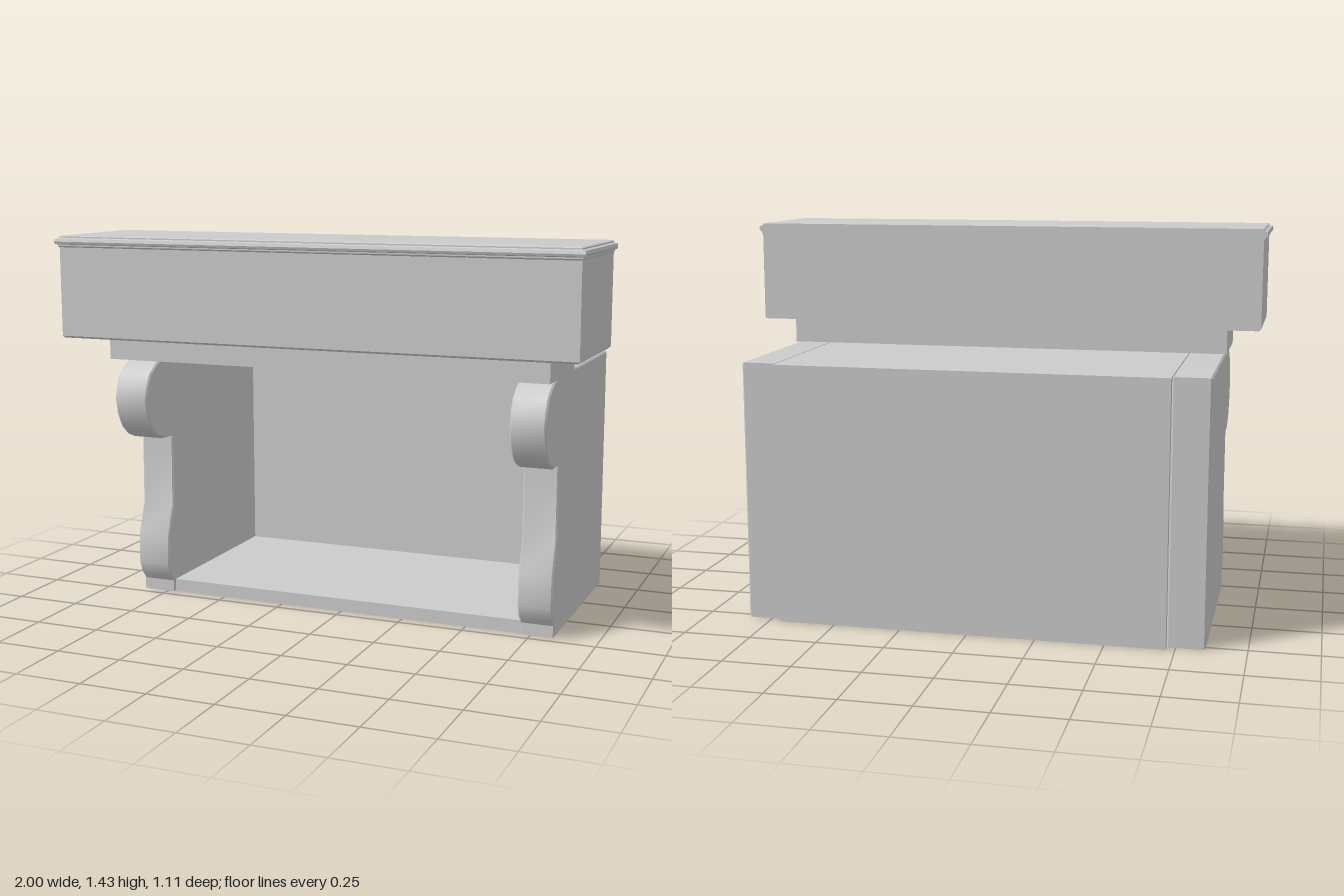
import * as THREE from 'three';
import { toCreasedNormals } from 'three/addons/utils/BufferGeometryUtils.js';

const grey = new THREE.MeshStandardMaterial({ color: 0xcccccc });

function add(group, name, geometry) {
  const mesh = new THREE.Mesh(geometry, grey);
  mesh.name = name;
  group.add(mesh);
  return mesh;
}

// Box given by its lower and upper limits
function box(group, name, [x0, x1], [y0, y1], [z0, z1]) {
  const mesh = add(group, name, new THREE.BoxGeometry(x1 - x0, y1 - y0, z1 - z0));
  mesh.position.set((x0 + x1) / 2, (y0 + y1) / 2, (z0 + z1) / 2);
}

// Scrolled side panel: profile in (z, y), extruded across x with a fine bevel
function sidePanel(group, name, x0, x1) {
  const bevel = 0.006;
  const profile = [
    [-0.527, 0], [0.212, 0], [0.212, 0.045], [0.237, 0.075], [0.253, 0.12], [0.249, 0.24],
    [0.208, 0.355], [0.203, 0.636], [0.27, 0.636], [0.32, 0.655], [0.36, 0.69],
    [0.387, 0.74], [0.4, 0.8], [0.39, 0.85], [0.365, 0.9], [0.315, 0.935],
    [0.275, 0.952], [0.235, 0.96], [-0.527, 0.96],
  ].map(([z, y]) => new THREE.Vector2(z, y));
  const geometry = new THREE.ExtrudeGeometry(new THREE.Shape(profile), {
    depth: x1 - x0 - 2 * bevel, bevelEnabled: true, bevelSegments: 1,
    bevelSize: bevel, bevelThickness: bevel, bevelOffset: -bevel,
  });
  const mesh = add(group, name, toCreasedNormals(geometry, 0.6));
  mesh.rotation.y = -Math.PI / 2;
  mesh.position.x = x1 - bevel;
}

// Rectangular rings [overhang, height] joined upwards; the back stays flush
function mouldedBlock(halfWidth, front, back, levels) {
  const positions = [];
  const indices = [];
  levels.forEach(([out, y]) => {
    const w = halfWidth + out, f = front + out;
    positions.push(-w, y, f, w, y, f, w, y, back, -w, y, back);
  });
  for (let i = 0; i < levels.length - 1; i++) {
    for (let j = 0; j < 4; j++) {
      const a = i * 4 + j, b = i * 4 + (j + 1) % 4;
      indices.push(a, b, b + 4, a, b + 4, a + 4);
    }
  }
  const t = (levels.length - 1) * 4;
  indices.push(t, t + 1, t + 2, t, t + 2, t + 3, 0, 2, 1, 0, 3, 2);
  const geometry = new THREE.BufferGeometry();
  geometry.setAttribute('position', new THREE.Float32BufferAttribute(positions, 3));
  geometry.setIndex(indices);
  return toCreasedNormals(geometry, 0.3);
}

export function createModel() {
  const model = new THREE.Group();
  model.name = 'mantelCabinet';

  // Scrolled sides
  sidePanel(model, 'leftSide', 0.71, 0.84);
  sidePanel(model, 'rightSide', -0.855, -0.718);

  // Open compartment between the sides
  const inner = [-0.718, 0.71];
  box(model, 'floorBoard', inner, [0, 0.05], [-0.52, 0.205]);
  box(model, 'topBoard', inner, [0.935, 0.96], [-0.52, 0.205]);
  box(model, 'backPanel', inner, [0, 0.96], [-0.555, -0.52]);

  // Neck carrying the mantel
  box(model, 'neck', [-0.86, 0.855], [0.96, 1.05], [0.075, 0.415]);

  // Mantel with eased lower edge and stepped cornice
  add(model, 'mantel', mouldedBlock(0.985, 0.543, 0.075, [
    [-0.006, 1.05], [0, 1.057], [0, 1.387], [0.004, 1.392], [0.004, 1.397],
    [0.012, 1.4], [0.015, 1.408], [0.012, 1.419], [0, 1.422], [0, 1.427], [-0.005, 1.43],
  ]));

  return model;
}
